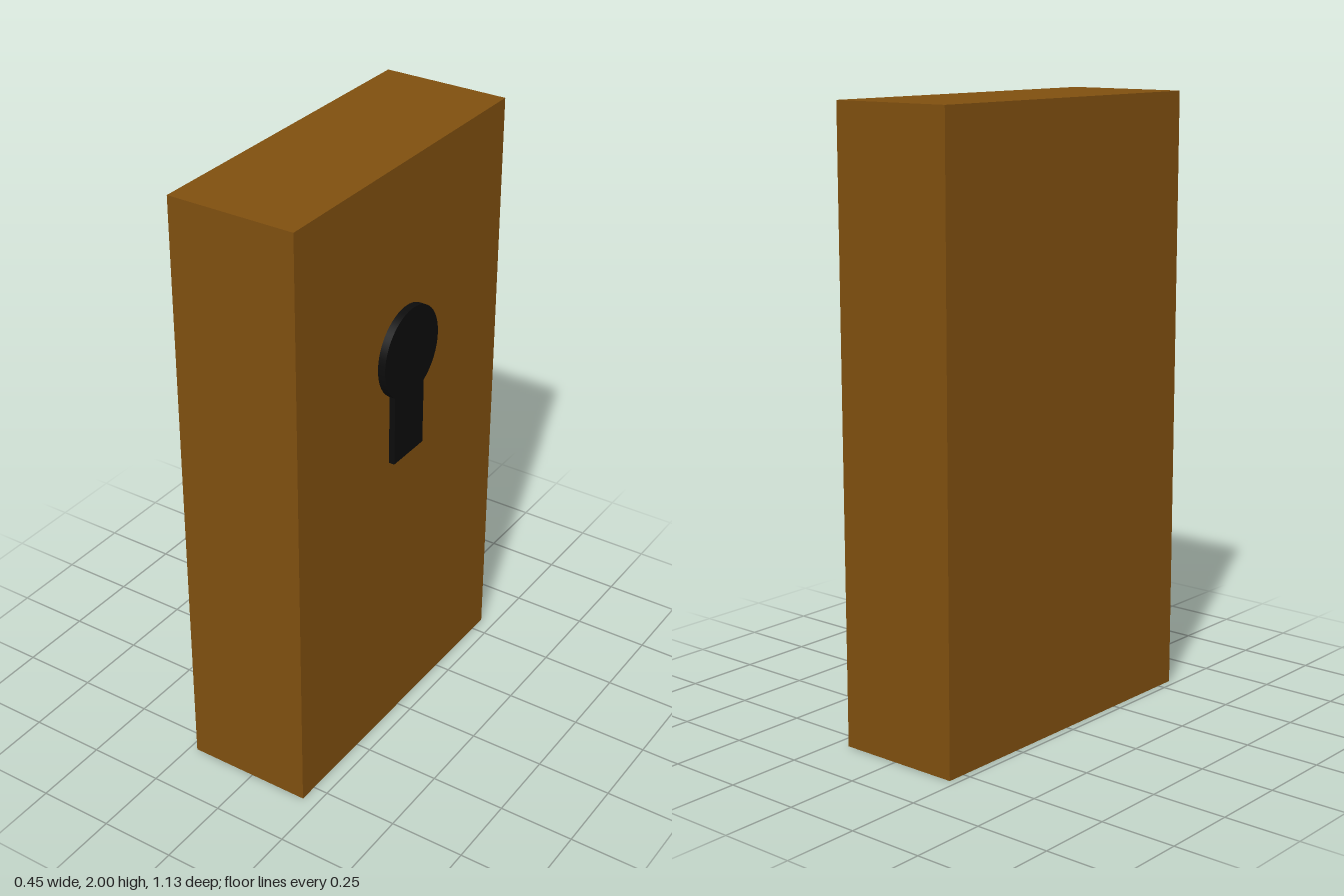
import * as THREE from 'three';

export function createModel() {
  const model = new THREE.Group();
  const wood = new THREE.MeshStandardMaterial({ color: 0x7f4f0f });
  const black = new THREE.MeshStandardMaterial({ color: 0x0c0c0c });

  const add = (name, geometry, material, x, y, z) => {
    const mesh = new THREE.Mesh(geometry, material);
    mesh.name = name;
    mesh.position.set(x, y, z);
    model.add(mesh);
  };

  // Solid slab, thin along x
  add('slab', new THREE.BoxGeometry(0.425, 2, 1.126), wood, -0.0125, 1, 0);

  // Raised keyhole on the +x face: a round disc above a slightly thinner stem
  const disc = new THREE.CylinderGeometry(0.15, 0.15, 0.065, 48).rotateZ(-Math.PI / 2);
  add('keyholeDisc', disc, black, 0.1925, 1.378, -0.007);
  add('keyholeStem', new THREE.BoxGeometry(0.06, 0.344, 0.164), black, 0.19, 1.188, -0.006);

  return model;
}
